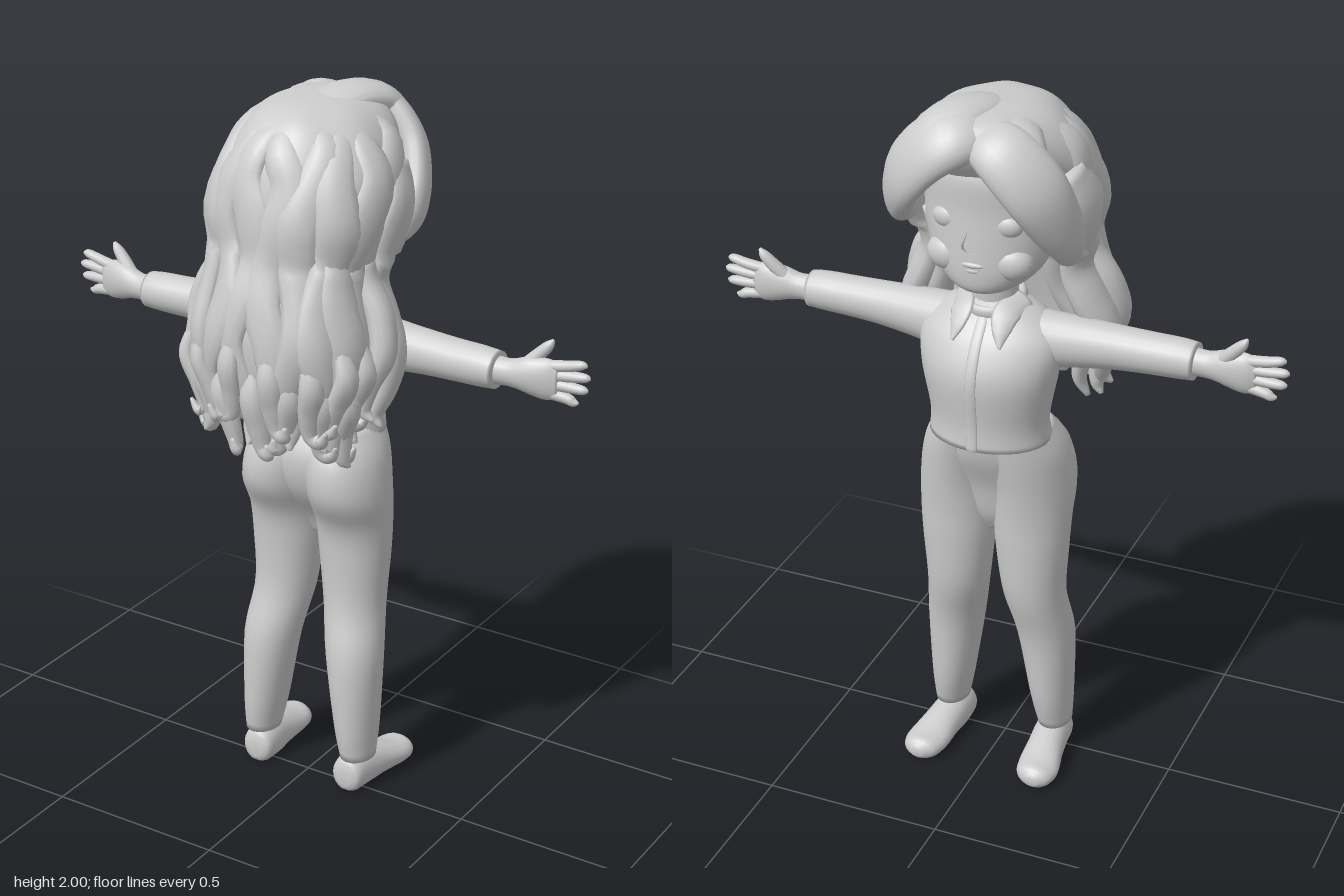
import * as THREE from 'three';

const V = (x, y, z) => new THREE.Vector3(x, y, z);
const UP = V(0, 1, 0), FRONT = V(0, 0, -1);
const grey = new THREE.MeshStandardMaterial({ color: 0xcccccc });
grey.name = 'clay grey';

// Sweeps an ellipse through rows of [x, y, z, halfWidth, halfDepth].
// out: direction of the depth axis (vector or function of the point); axis: fixed sweep direction.
function sweep(rows, { out = FRONT, axis = null, segs = 24, sides = 20, ripple = null, min = -9 } = {}) {
  const path = new THREE.CatmullRomCurve3(rows.map(r => V(r[0], r[1], r[2])), false, 'catmullrom', 0.5);
  const size = new THREE.CatmullRomCurve3(rows.map(r => V(r[3], r[4], 0)), false, 'catmullrom', 0.5);
  const pos = [], idx = [];
  const put = p => pos.push(p.x, Math.max(min, p.y), p.z);
  for (let i = 0; i <= segs; i++) {
    const t = i / segs, p = path.getPoint(t), s = size.getPoint(t);
    const T = axis ? axis.clone() : path.getTangent(t);
    const N = (typeof out === 'function' ? out(p) : out).clone();
    N.addScaledVector(T, -N.dot(T)).normalize();
    const B = N.clone().cross(T);
    for (let j = 0; j < sides; j++) {
      const a = j / sides * Math.PI * 2, k = ripple ? ripple(a, p.y) : 1;
      put(p.clone().addScaledVector(B, Math.cos(a) * s.x * k).addScaledVector(N, Math.sin(a) * s.y * k));
      if (i < segs) {
        const q = i * sides + j, r = i * sides + (j + 1) % sides;
        idx.push(q, r, q + sides, r, r + sides, q + sides);
      }
    }
  }
  // end caps
  const c = (segs + 1) * sides;
  put(path.getPoint(0)); put(path.getPoint(1));
  for (let j = 0; j < sides; j++) {
    const k = (j + 1) % sides, e = segs * sides;
    idx.push(c, k, j, c + 1, e + j, e + k);
  }
  const g = new THREE.BufferGeometry();
  g.setAttribute('position', new THREE.Float32BufferAttribute(pos, 3));
  g.setIndex(idx);
  g.computeVertexNormals();
  return g;
}

export function createModel() {
  const model = new THREE.Group();
  const add = (name, geo) => {
    const m = new THREE.Mesh(geo, grey);
    m.name = name;
    model.add(m);
    return m;
  };
  const flip = (s, rows) => rows.map(([x, ...rest]) => [x * s, ...rest]);
  const ball = (name, x, y, z, rx, ry, rz) => {
    const m = add(name, new THREE.SphereGeometry(1, 20, 14));
    m.position.set(x, y, z);
    m.scale.set(rx, ry, rz);
  };

  // Trousers: the hips fill the space between the legs
  add('hips', sweep([[0, .74, -.07, .04, .03], [0, .8, -.07, .12, .06], [0, .9, -.05, .185, .105],
    [0, 1, -.062, .19, .132], [0, 1.09, -.09, .15, .12]], { axis: UP, sides: 32 }));
  // Shirt, with a hem standing off the waist
  add('shirt', sweep([[0, 1.05, -.1, .168, .132], [0, 1.12, -.105, .163, .125], [0, 1.25, -.105, .187, .135],
    [0, 1.34, -.085, .195, .12], [0, 1.4, -.07, .15, .088], [0, 1.45, -.07, .07, .06]], { axis: UP, sides: 32 }));
  add('placket', sweep([[0, 1.05, -.231, .016, .006], [0, 1.12, -.228, .016, .006], [0, 1.25, -.238, .016, .006],
    [0, 1.34, -.203, .016, .006], [0, 1.41, -.145, .016, .006]], { sides: 10 }));
  add('neck', sweep([[0, 1.36, -.07, .07, .06], [0, 1.54, -.08, .06, .06]], { axis: UP, segs: 4 }));

  // Collar band and its two points
  const band = add('collarBand', new THREE.TorusGeometry(.074, .013, 10, 32));
  band.rotation.x = Math.PI / 2 - .25;
  band.position.set(0, 1.432, -.072);
  band.scale.z = 1.6;
  for (const s of [1, -1]) {
    add('collarPoint', sweep(flip(s, [[.085, 1.44, -.07, .028, .011], [.062, 1.425, -.135, .036, .011],
      [.06, 1.39, -.172, .026, .01], [.066, 1.35, -.2, .004, .004]]), { out: V(s * .3, .6, -.7), sides: 10 }));

    // Leg, running up into the hip
    add('leg', sweep(flip(s, [[.158, .095, -.012, .047, .06], [.15, .2, -.018, .06, .078], [.135, .4, -.028, .08, .085],
      [.113, .55, -.063, .088, .086], [.108, .7, -.07, .102, .092], [.107, .8, -.065, .108, .102], [.104, .9, -.045, .112, .133],
      [.091, 1, -.056, .106, .138], [.075, 1.08, -.09, .078, .115]]), { axis: UP, segs: 36, sides: 24 }));

    // Shoe with a flat sole
    add('shoe', sweep(flip(s, [[.15, .04, .05, .022, .025], [.15, .045, .035, .045, .052], [.152, .045, -.02, .05, .06],
      [.16, .04, -.09, .053, .05], [.17, .03, -.17, .06, .036], [.173, .028, -.215, .048, .032], [.175, .025, -.236, .016, .014]]),
    { axis: FRONT, out: UP, min: 0 }));

    // Sleeve, creasing slightly before a narrow cuff
    add('sleeve', sweep(flip(s, [[.1, 1.33, -.07, .075, .085], [.2, 1.335, -.06, .066, .072], [.32, 1.338, -.052, .058, .061],
      [.42, 1.338, -.047, .055, .056], [.5, 1.338, -.045, .053, .054], [.545, 1.337, -.045, .05, .05]]), { out: UP }));

    // Hand: wrist and palm, four fingers, thumb
    add('palm', sweep(flip(s, [[.52, 1.337, -.045, .036, .039], [.58, 1.337, -.048, .032, .037], [.63, 1.34, -.052, .033, .05],
      [.68, 1.337, -.057, .026, .056], [.71, 1.337, -.058, .014, .046]]), { out: UP }));
    [[1.372, 1.392, .785], [1.35, 1.36, .795], [1.327, 1.326, .79], [1.303, 1.288, .765]].forEach(([y0, y1, x]) =>
      add('finger', sweep(flip(s, [[.67, y0, -.056, .015, .016], [.73, (y0 + y1) / 2, -.062, .015, .015],
        [x - .015, y1, -.063, .013, .012], [x, y1, -.062, .004, .004]]), { out: UP, sides: 10, segs: 10 })));
    add('thumb', sweep(flip(s, [[.61, 1.355, -.055, .02, .02], [.645, 1.392, -.065, .018, .018], [.672, 1.422, -.07, .014, .014],
      [.684, 1.44, -.071, .004, .004]]), { out: FRONT, sides: 10, segs: 12 }));

    // Closed eyelid and cheek, both very shallow
    ball('eyelid', s * .078, 1.69, -.176, .045, .034, .03);
    ball('cheek', s * .085, 1.585, -.165, .06, .05, .045);
  }

  // Head and face
  add('head', sweep([[0, 1.485, -.135, .03, .035], [0, 1.505, -.13, .085, .08], [0, 1.55, -.105, .14, .115],
    [0, 1.62, -.08, .172, .138], [0, 1.72, -.07, .185, .142], [0, 1.82, -.06, .18, .15], [0, 1.9, -.05, .11, .1]],
  { axis: UP, sides: 32 }));
  add('nose', sweep([[0, 1.7, -.2, .012, .012], [0, 1.66, -.215, .017, .018], [0, 1.635, -.222, .025, .027],
    [0, 1.615, -.212, .014, .012]], { axis: UP, segs: 14 }));
  ball('muzzle', 0, 1.575, -.185, .065, .048, .036);
  ball('upperLip', 0, 1.582, -.217, .03, .008, .008);
  ball('lowerLip', 0, 1.566, -.213, .024, .009, .009);
  ball('chin', 0, 1.518, -.172, .055, .03, .036);

  // Hair mass: cap over the skull flowing into a long curtain behind the back
  const hair = [[0, 1.15, .17, .16, .045], [0, 1.21, .165, .225, .085], [0, 1.3, .155, .255, .12], [0, 1.4, .15, .25, .13],
    [0, 1.5, .13, .222, .13], [0, 1.6, .1, .208, .122], [0, 1.7, .07, .232, .15], [0, 1.8, .005, .236, .198],
    [0, 1.88, -.04, .205, .212], [0, 1.94, -.06, .155, .185], [0, 1.97, -.075, .095, .13], [0, 1.98, -.09, .02, .03]];
  add('hairMass', sweep(hair, { axis: UP, segs: 60, sides: 96,
    ripple: (a, y) => 1 + .02 * Math.sin(7 * a + 2 * Math.sin(9 * y)) }));

  const outward = p => V(p.x, Math.max(0, p.y - 1.72), p.z - (p.y < 1.6 ? .08 : -.02));
  const lock = (name, rows, sides = 12) => add(name, sweep(rows, { out: outward, segs: 36, sides }));

  // Broad wavy locks following the hair mass from crown to tips
  const count = 10;
  for (let i = 0; i < count; i++) {
    const base = (i / (count - 1) - .5) * 3.4;
    const rows = hair.slice(1, 10).reverse().map(([, y, z, w, d], k) => {
      const th = base + .13 * Math.sin(k * 1.5 + i * 2.1), f = k === 0 ? .84 : .92 + .025 * Math.sin(k * 1.9 + i * 1.3);
      const size = [.02, .045, .058, .064, .06, .058, .056, .046, .036][k];
      return [Math.sin(th) * w * f, y, z + Math.cos(th) * d * f, size, size * .56];
    });
    const [x, , z] = rows[8], lift = .05 * Math.cos(base) + .02 * Math.sin(i * 2.7);
    rows.push([x * .98, 1.12 + lift, z + .005, .026, .02]);
    rows.push([x * 1.06, 1.085 + lift, z + .025 * Math.cos(base), .006, .006]);
    lock('longLock', rows);
  }

  // Curled tips along the lower edge: high outer curls, lower inner ones
  for (let i = 0; i < 15; i++) {
    const th = (i / 14 - .5) * 3.3, s = Math.sin(th), c = Math.cos(th), side = i % 3 ? 1 : -1;
    const inner = i % 2, k = inner ? .88 : 1, h = (inner ? -.015 : .05) + .015 * Math.sin(i * 2.3);
    const at = (r, y, w, turn = 0) => [s * r * k + c * turn * side, y + h, .15 + c * r * k * .52 - s * turn * side * .5, w, w * .75];
    lock('curledTip', [at(.235, 1.36, .016), at(.265, 1.27, .034), at(.235, 1.19, .034, .01),
      at(.22, 1.13, .026, .02), at(.24, 1.115, .02, .04), at(.262, 1.145, .006, .045)], 10);
  }

  // Side locks framing the neck and resting on the shoulders
  for (const s of [1, -1]) {
    lock('templeLock', flip(s, [[.2, 1.82, -.09, .06, .035], [.238, 1.72, -.06, .08, .036], [.218, 1.61, -.02, .065, .036],
      [.2, 1.53, -.01, .055, .034], [.235, 1.44, .0, .06, .036], [.272, 1.35, .02, .056, .036],
      [.265, 1.26, .045, .045, .032], [.25, 1.19, .07, .028, .02], [.272, 1.16, .08, .006, .006]]));
    lock('innerLock', flip(s, [[.18, 1.66, -.05, .045, .03], [.165, 1.57, -.035, .05, .03], [.165, 1.48, -.01, .045, .035],
      [.2, 1.38, .02, .045, .04], [.2, 1.26, .065, .038, .03], [.18, 1.16, .08, .025, .02], [.2, 1.1, .09, .008, .008]]));
    lock('outerCurl', flip(s, [[.2, 1.62, .06, .03, .025], [.215, 1.54, .06, .045, .034], [.262, 1.46, .07, .045, .036],
      [.283, 1.37, .09, .04, .034], [.255, 1.29, .11, .03, .03], [.245, 1.22, .12, .022, .02], [.275, 1.19, .12, .006, .006]]));
  }

  // Swept fringe: one lobe each side of the parting
  lock('leftFringe', [[-.04, 1.925, -.16, .05, .03], [.035, 1.925, -.22, .08, .05], [.105, 1.89, -.24, .09, .048],
    [.17, 1.82, -.23, .088, .044], [.212, 1.75, -.185, .08, .042], [.238, 1.69, -.125, .062, .038],
    [.238, 1.655, -.07, .042, .03], [.25, 1.645, -.02, .012, .012]], 20);
  lock('rightFringe', [[.02, 1.92, -.15, .05, .03], [-.06, 1.915, -.215, .075, .045], [-.12, 1.88, -.232, .085, .046],
    [-.18, 1.81, -.225, .085, .044], [-.212, 1.73, -.19, .074, .042], [-.228, 1.66, -.145, .058, .038],
    [-.22, 1.61, -.1, .04, .03], [-.24, 1.585, -.05, .01, .01]], 20);
  lock('leftCrownWave', [[-.01, 1.88, .08, .04, .02], [.02, 1.945, -.04, .07, .03], [.05, 1.957, -.14, .078, .04],
    [.085, 1.93, -.215, .075, .046], [.14, 1.86, -.24, .055, .04], [.185, 1.79, -.22, .02, .02]], 16);
  lock('rightCrownWave', [[-.03, 1.88, .08, .04, .02], [-.065, 1.93, -.04, .065, .03], [-.085, 1.932, -.14, .07, .036],
    [-.125, 1.9, -.2, .066, .042], [-.175, 1.83, -.225, .05, .036], [-.21, 1.76, -.205, .02, .02]], 16);

  return model;
}
